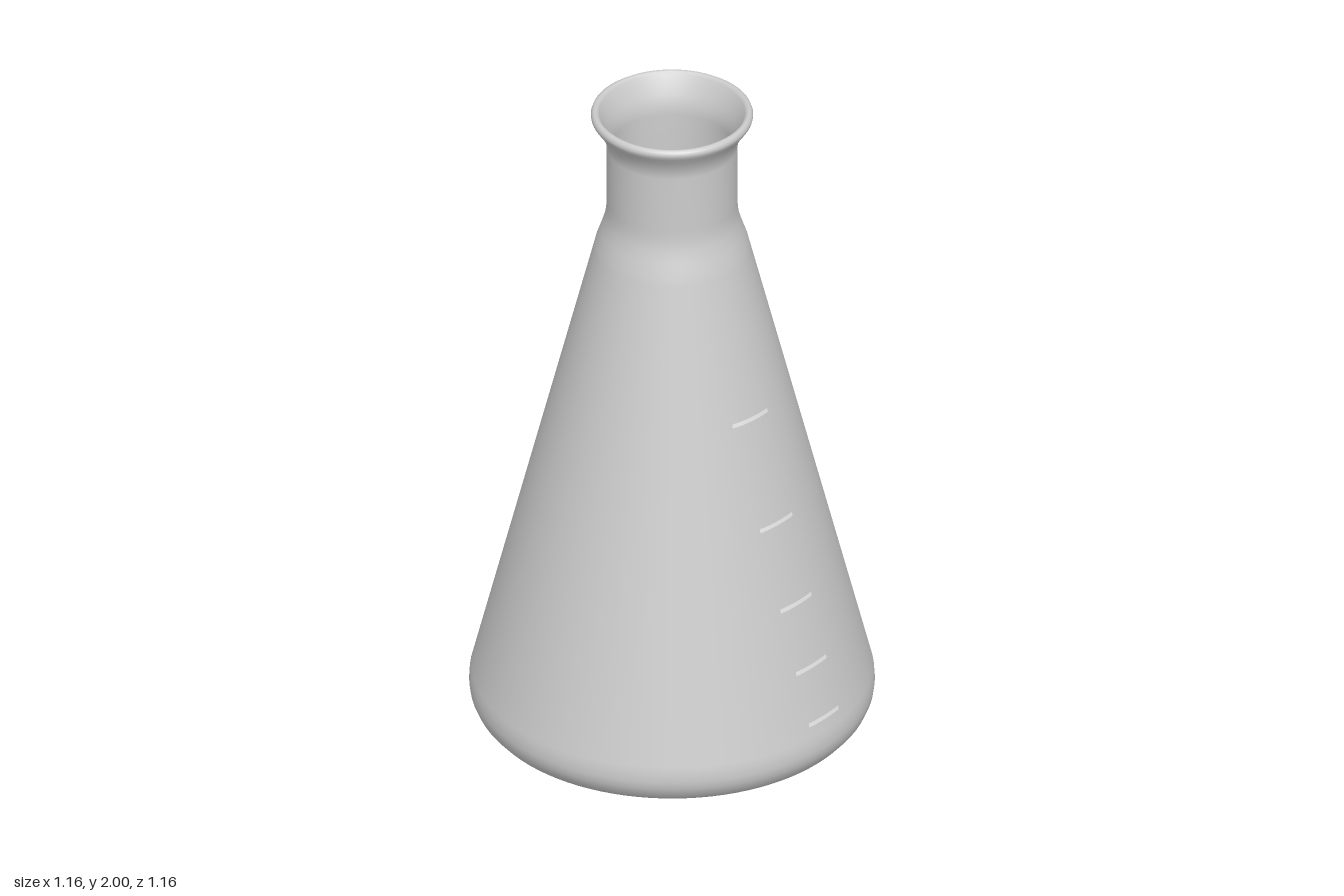
import * as THREE from 'three';

const glass = new THREE.MeshStandardMaterial({ color: 0xcccccc });
glass.name = 'grey glass';
const paint = new THREE.MeshStandardMaterial({ color: 0xf2f2f2, side: THREE.DoubleSide });
paint.name = 'pale marking';

// Outer radius of the conical wall at height y
const coneRadius = (y) => 0.58 + (0.22 - 0.58) * (y - 0.12) / (1.56 - 0.12);

export function createModel() {
  const group = new THREE.Group();
  group.name = 'conicalFlask';

  // Wall profile: up the outside, over the lip and down the inside
  const outside = [
    [0, 0], [0.47, 0], [0.5, 0.001], [0.525, 0.007], [0.549, 0.02], [0.568, 0.042],
    [0.579, 0.068], [0.582, 0.092], [0.58, 0.12], [0.575, 0.14], [0.4, 0.84],
    [0.225, 1.54], [0.219, 1.565], [0.205, 1.605], [0.194, 1.64], [0.189, 1.67], [0.188, 1.7],
    [0.188, 1.88], [0.19, 1.9], [0.198, 1.923], [0.21, 1.945], [0.224, 1.965],
  ];
  const lip = [
    [0.231, 1.976], [0.233, 1.985], [0.23, 1.994], [0.223, 1.999], [0.215, 1.998], [0.209, 1.99],
  ];
  const inside = [
    [0.197, 1.966], [0.183, 1.937], [0.174, 1.91], [0.17, 1.88], [0.17, 1.69],
    [0.176, 1.64], [0.202, 1.56], [0.207, 1.54], [0.557, 0.14], [0.563, 0.1],
    [0.553, 0.06], [0.53, 0.033], [0.5, 0.022], [0.47, 0.02], [0, 0.02],
  ];
  const profile = [...outside, ...lip, ...inside].map(([r, y]) => new THREE.Vector2(r, y));
  const body = new THREE.Mesh(new THREE.LatheGeometry(profile, 96), glass);
  body.name = 'flaskWall';
  group.add(body);

  // Graduation lines curved around the left side
  const height = 0.012;
  [0.18, 0.34, 0.535, 0.785, 1.11].forEach((y, i) => {
    const r = coneRadius(y) + 0.003;
    const start = Math.acos(0.165 / r);
    const sweep = Math.acos(0.035 / r) - start;
    const line = new THREE.Mesh(
      new THREE.CylinderGeometry(r - height / 8, r + height / 8, height, 10, 1, true, start, sweep),
      paint
    );
    line.position.y = y;
    line.name = `graduationLine${i + 1}`;
    group.add(line);
  });

  return group;
}
